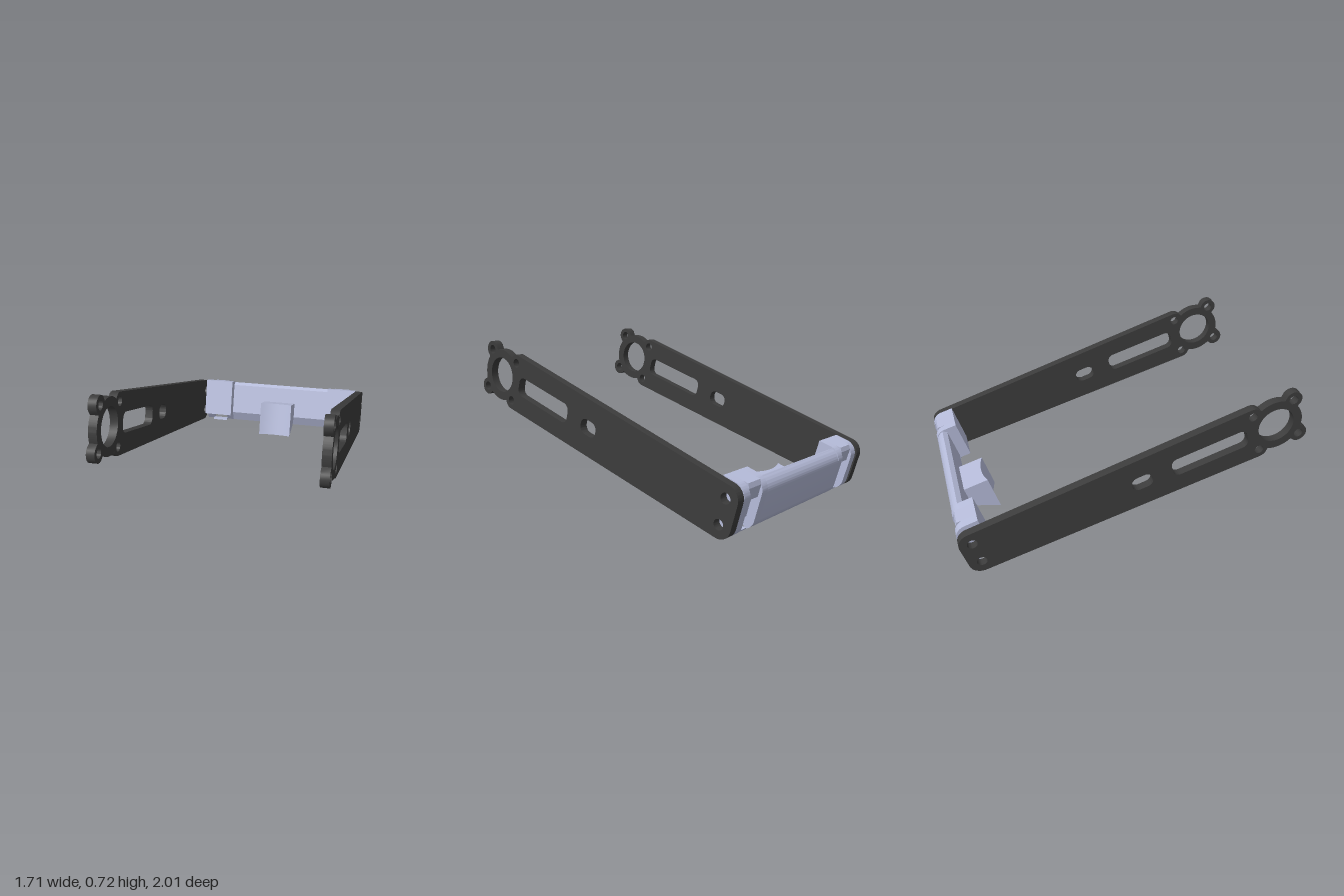
import * as THREE from 'three';
import { toCreasedNormals } from 'three/addons/utils/BufferGeometryUtils.js';

const plateMat = new THREE.MeshStandardMaterial({ color: 0x3c3c3c });
plateMat.name = 'dark grey';
const barMat = new THREE.MeshStandardMaterial({ color: 0xb6bcda });
barMat.name = 'pale blue';

// Extrude a side profile (X = along the arm, Y = across it) from x0 to x1
function extrude(shape, x0, x1, steps = 1) {
  const g = new THREE.ExtrudeGeometry(shape, { depth: x1 - x0, steps, bevelEnabled: false, curveSegments: 16 });
  g.rotateY(-Math.PI / 2);
  g.translate(x1, 0, 0);
  return g;
}

function addMesh(parent, name, geometry, material) {
  const m = new THREE.Mesh(toCreasedNormals(geometry, 0.5), material);
  m.name = name;
  parent.add(m);
  return m;
}

const polygon = (pts) => new THREE.Shape(pts.map(([a, b]) => new THREE.Vector2(a, b)));

function circleHole(a, b, r) {
  const p = new THREE.Path();
  p.absarc(a, b, r, 0, Math.PI * 2, true);
  return p;
}

function slotHole(a, w, h, r) {
  const p = new THREE.Path(), u = w / 2 - r, v = h / 2 - r, q = Math.PI / 2;
  p.absarc(a + u, v, r, 0, q, false);
  p.absarc(a - u, v, r, q, 2 * q, false);
  p.absarc(a - u, -v, r, 2 * q, 3 * q, false);
  p.absarc(a + u, -v, r, 3 * q, 4 * q, false);
  p.closePath();
  return p;
}

// Arm plate: rounded back end, tapered body, ring head with four screw bosses
function armShape() {
  const s = new THREE.Shape();
  const head = 1.526, e = 0.105, ring = 0.135, boss = 0.044, end = 0.062, r = 0.063;
  s.absarc(0, end, r, Math.PI / 2, Math.PI, false);
  s.absarc(0, -end, r, Math.PI, Math.PI * 1.5, false);
  const d = Math.hypot(e, e), limit = Math.PI - Math.atan2(e + boss, e), n = 120;
  for (let i = 0; i <= n; i++) {
    const t = -limit + (2 * limit * i) / n;
    let rad = ring;
    for (const k of [-3, -1, 1, 3]) {
      const diff = t - (k * Math.PI) / 4, q = boss * boss - (d * Math.sin(diff)) ** 2;
      if (q > 0 && Math.cos(diff) > 0) rad = Math.max(rad, d * Math.cos(diff) + Math.sqrt(q));
    }
    s.lineTo(head + rad * Math.cos(t), rad * Math.sin(t));
  }
  s.closePath();
  s.holes.push(circleHole(head, 0, 0.092));
  for (const i of [-1, 1]) {
    for (const j of [-1, 1]) s.holes.push(circleHole(head + i * e, j * e, 0.023));
    s.holes.push(circleHole(0, i * end, 0.025));
  }
  s.holes.push(slotHole(head - 0.345, 0.39, 0.1, 0.034));
  s.holes.push(slotHole(head - 0.694, 0.105, 0.076, 0.034));
  return s;
}

// Bar profile: given front corners, closed by a rounded back
function barShape(front, top) {
  const s = new THREE.Shape();
  s.moveTo(...front[0]);
  front.slice(1).forEach((p) => s.lineTo(...p));
  s.absarc(0, top - 0.063, 0.063, Math.PI * (front.length > 3 ? 0.6 : 0.5), Math.PI, false);
  s.absarc(0, -0.062, 0.063, Math.PI, Math.PI * 1.34, false);
  s.closePath();
  return s;
}

export function createModel() {
  const root = new THREE.Group();
  root.name = 'armFrame';
  root.rotation.y = 0.471;
  const model = new THREE.Group();
  model.name = 'bracketAssembly';
  model.add(root);

  // Everything shares the tilt of the arms
  const tilted = new THREE.Group();
  tilted.name = 'tiltedAssembly';
  tilted.position.set(0, 0.134, -0.774);
  tilted.rotation.x = -0.274;
  root.add(tilted);

  const arm = armShape();
  for (const [name, x] of [['leftArm', 0.5], ['rightArm', -0.5]]) {
    addMesh(tilted, name, extrude(arm, x - 0.02, x + 0.02), plateMat);
  }

  // Crossbar, slightly off centre between the arms
  const bar = new THREE.Group();
  bar.name = 'crossbar';
  bar.position.x = 0.01;
  tilted.add(bar);

  const centre = barShape([[0.006, -0.068], [0.006, 0.108], [-0.015, 0.125], [-0.02, 0.122]], 0.125);
  addMesh(bar, 'barCentre', extrude(centre, -0.302, 0.302), barMat);

  // End blocks: two walls with an open pocket between them
  const wall = barShape([[0.006, -0.084], [0.063, -0.084], [0.063, 0.13]], 0.13);
  const pocket = polygon([
    [0.063, -0.084], [0.063, 0.13], [-0.035, 0.13], [-0.047, 0.11],
    [-0.047, 0.05], [-0.02, 0.03], [-0.02, -0.06], [0.0, -0.084],
  ]);
  const strap = polygon([[-0.002, -0.125], [-0.002, -0.114], [-0.035, -0.11], [-0.035, -0.116]]);
  for (const side of [1, -1]) {
    const block = new THREE.Group();
    block.name = side > 0 ? 'leftEndBlock' : 'rightEndBlock';
    bar.add(block);
    const add = (name, shape, a, b) =>
      addMesh(block, name, extrude(shape, side > 0 ? a : -b, side > 0 ? b : -a), barMat);
    add('innerWall', wall, 0.302, 0.342);
    add('pocketBlock', pocket, 0.342, 0.428);
    add('pocketStrap', strap, 0.342, 0.428);
    add('outerWall', wall, 0.428, 0.47);
  }

  // Front tab with a hollowed face
  const tab = polygon([[0, 0.018], [0, -0.06], [0.03, -0.115], [0.135, -0.175], [0.135, 0.018]]);
  const tabGeo = extrude(tab, -0.095, 0.095, 12);
  const pos = tabGeo.attributes.position;
  for (let i = 0; i < pos.count; i++) {
    if (pos.getZ(i) > 0.1) pos.setZ(i, pos.getZ(i) - 0.02 * (1 - (pos.getX(i) / 0.095) ** 2));
  }
  addMesh(bar, 'frontTab', tabGeo, barMat);

  return model;
}
